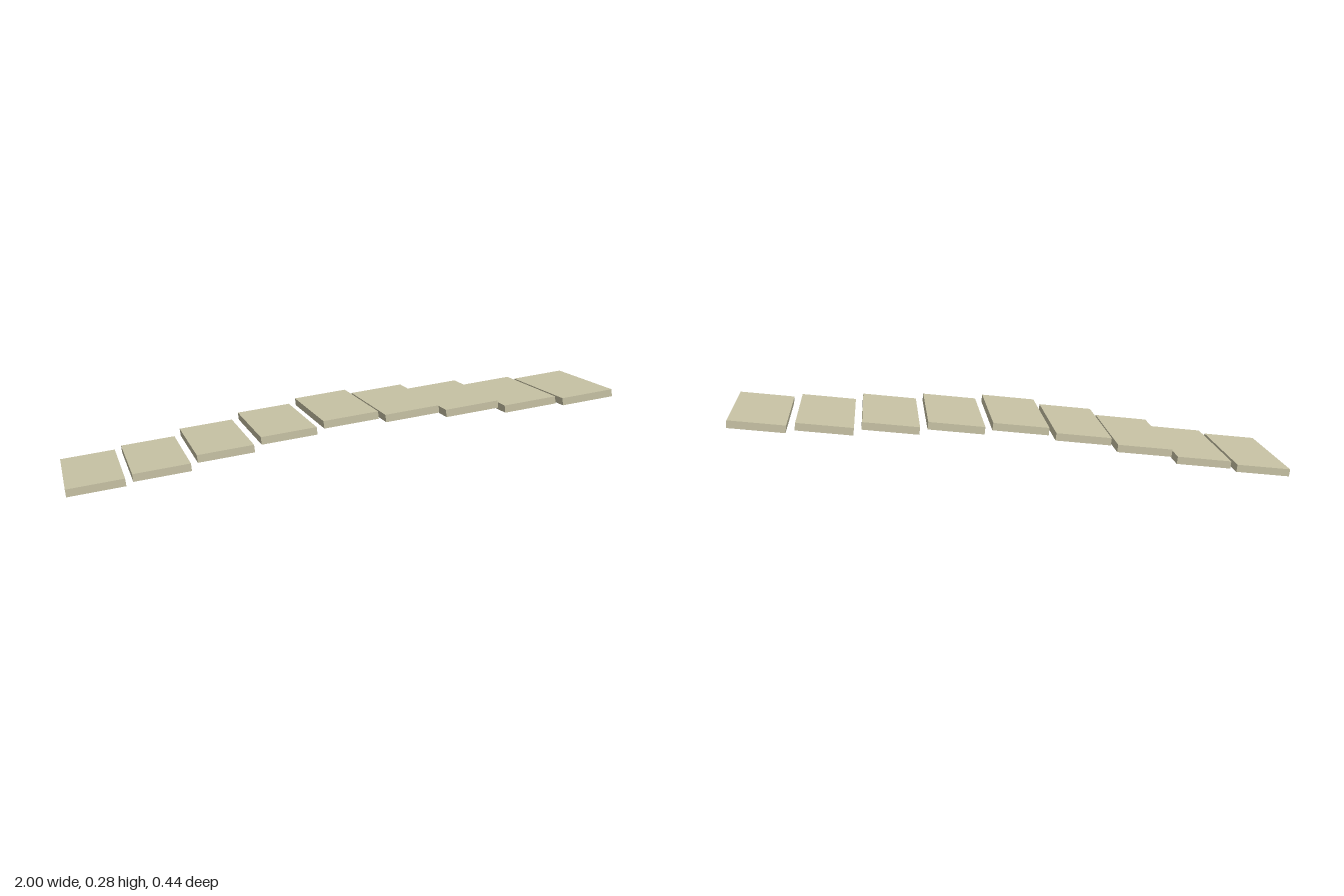
import * as THREE from 'three';

// Centre [x, y] of each plank, from the low end to the high end
const CENTRES = [
  [-0.898, 0.0305], [-0.676, 0.0685], [-0.457, 0.1205],
  [-0.235, 0.1705], [-0.012, 0.2150], [0.214, 0.2255],
  [0.441, 0.2320], [0.668, 0.2365], [0.897, 0.2525],
];

export function createModel() {
  const group = new THREE.Group();
  group.name = 'plankWalkway';

  const material = new THREE.MeshStandardMaterial({ color: 0xc8c3a5, flatShading: true });
  const geometry = new THREE.BoxGeometry(0.2, 0.027, 0.4325);

  // Separate planks, all with the same slight pitch, roll and yaw
  CENTRES.forEach(([x, y], i) => {
    const plank = new THREE.Mesh(geometry, material);
    plank.name = `plank${i + 1}`;
    plank.position.set(x, y, x * 0.005);
    plank.rotation.set(0.012, -0.005, 0.124);
    group.add(plank);
  });

  return group;
}
